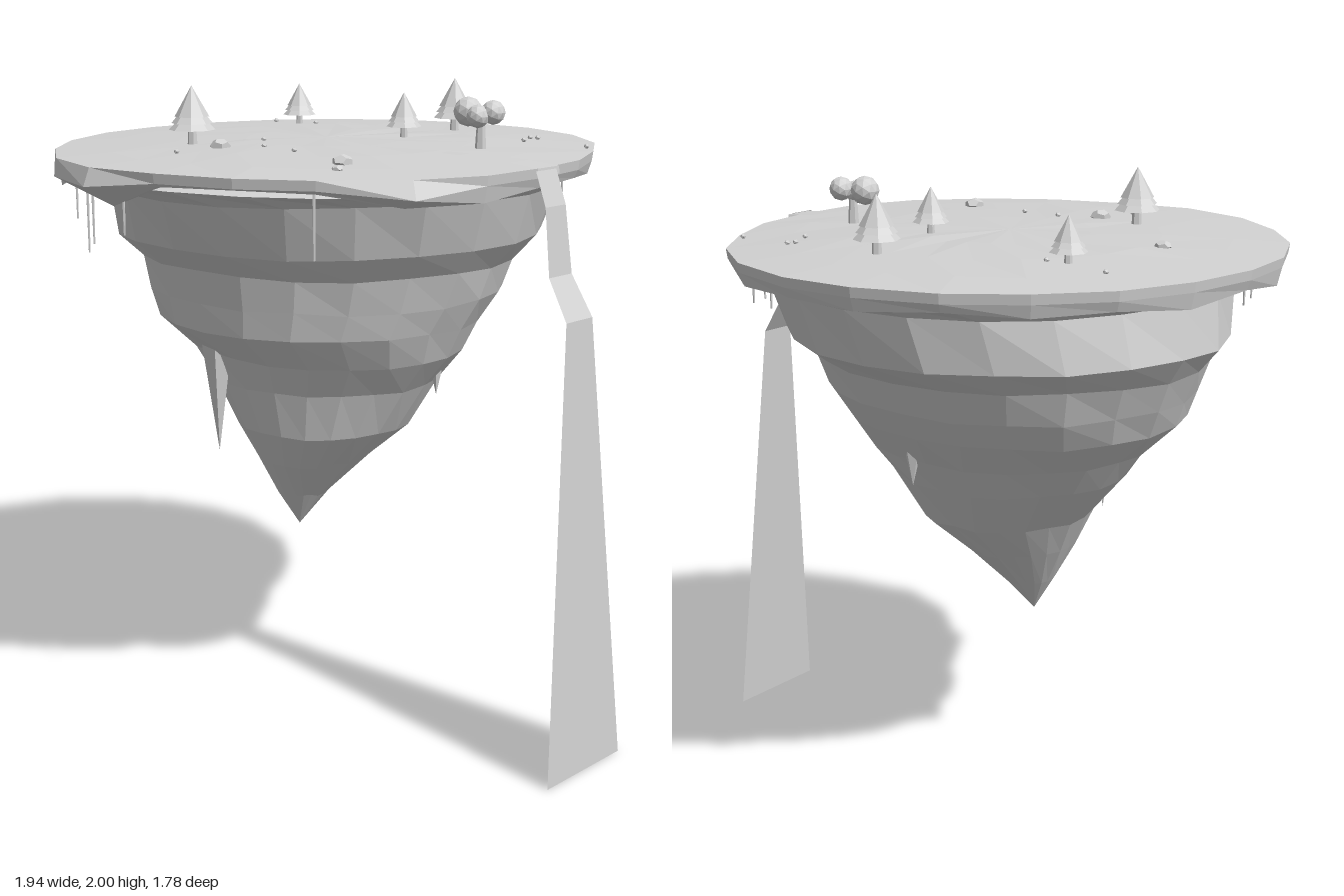
import * as THREE from 'three';

const stone = new THREE.MeshStandardMaterial({ color: 0xd2d2d2, side: THREE.DoubleSide });
stone.name = 'pale grey';

const N = 22;
let seed = 7;
const rand = () => (seed = (seed * 16807) % 2147483647) / 2147483647;
const jitter = (s) => (rand() - 0.5) * 2 * s;

// Faceted look: every face gets its own normal
function flat(geo) {
  const g = geo.index ? geo.toNonIndexed() : geo;
  g.computeVertexNormals();
  return g;
}

function add(parent, name, geo, x = 0, y = 0, z = 0) {
  const mesh = new THREE.Mesh(flat(geo), stone);
  mesh.name = name;
  mesh.position.set(x, y, z);
  parent.add(mesh);
  return mesh;
}

// Skin between rings of points, listed from top to bottom
function loft(rings, closed = true) {
  const pos = [];
  for (let r = 0; r < rings.length - 1; r++) {
    const A = rings[r], B = rings[r + 1], n = A.length;
    for (let i = 0; i < (closed ? n : n - 1); i++) {
      const j = (i + 1) % n;
      pos.push(...A[i], ...A[j], ...B[i], ...A[j], ...B[j], ...B[i]);
    }
  }
  const g = new THREE.BufferGeometry();
  g.setAttribute('position', new THREE.Float32BufferAttribute(pos, 3));
  return g;
}

// Rim of the plateau: x, z, height of the ragged fringe, outward flare of the lip
const RIM = [
  [0, -0.89, 1.74], [0.25, -0.81, 1.73], [0.45, -0.66, 1.745], [0.585, -0.465, 1.73],
  [0.69, -0.25, 1.745], [0.725, -0.03, 1.74], [0.72, 0.22, 1.72], [0.63, 0.435, 1.71, 1.03],
  [0.445, 0.63, 1.76], [0.245, 0.755, 1.765], [0, 0.83, 1.76], [-0.24, 0.865, 1.68, 1.025],
  [-0.49, 0.79, 1.755, 1.01], [-0.69, 0.64, 1.685], [-0.845, 0.455, 1.74], [-0.95, 0.22, 1.715],
  [-0.975, -0.01, 1.74], [-0.94, -0.26, 1.72], [-0.845, -0.49, 1.74], [-0.685, -0.67, 1.73],
  [-0.485, -0.81, 1.745], [-0.24, -0.885, 1.73],
];
const CX = -0.12;
const DOME = 0.029;
const groundY = (x, z) => 1.8 + DOME * Math.max(0, 1 - ((x - CX) ** 2 + z * z) / 0.75);

// The rim outline scaled about the island's axis; f and y are given per point
const rimRing = (f, y) => RIM.map((p) => [CX + (p[0] - CX) * f(p), y(p), p[1] * f(p)]);

function plateau() {
  const rings = [0, 0.3, 0.55, 0.8, 1].map((f) => rimRing(() => f,
    () => 1.8 + DOME * (1 - f * f) + (f > 0 && f < 1 ? jitter(0.003) : 0)));
  rings.push(
    rimRing((p) => p[3] ?? 0.995, (p) => (p[3] ? 1.745 : 1.77)), // lip
    rimRing((p) => (p[3] ? 0.91 : 0.98), (p) => p[2]), // ragged fringe
    rimRing(() => 0.86, () => 1.768),
    rimRing(() => 0, () => 1.768),
  );
  return loft(rings);
}

// Rock below: y, centre x, radius x, centre z, radius z
const ROCK = [
  [1.70, -0.11, 0.71, -0.03, 0.73],
  [1.54, -0.145, 0.695, -0.04, 0.68], [1.465, -0.15, 0.63, -0.03, 0.58],
  [1.36, -0.145, 0.59, -0.015, 0.55],
  [1.27, -0.145, 0.545, 0.01, 0.51], [1.17, -0.115, 0.465, 0, 0.415],
  [1.07, -0.115, 0.385, 0.01, 0.36], [0.92, -0.09, 0.275, 0.04, 0.295],
  [0.80, -0.12, 0.18, 0.065, 0.195], [0.67, -0.145, 0.078, 0.09, 0.09],
  [0.555, -0.15, 0, 0.105, 0],
];

function rock() {
  const body = ROCK.map(([y, cx, rx, cz, rz]) => Array.from({ length: N }, (_, i) => {
    const a = (i / N) * Math.PI * 2;
    const f = 1 + jitter(0.009);
    return [cx + Math.sin(a) * rx * f, y + (rx ? jitter(0.005) : 0), cz - Math.cos(a) * rz * f];
  }));
  // shelf just under the plateau
  return loft([rimRing(() => 0.8, () => 1.766), rimRing(() => 0.93, () => 1.742), ...body]);
}

// Flat water strip from [x, y, zMin, zMax] sections
const strip = (rows) => loft(rows.map(([x, y, a, b]) => [[x, y, a], [x, y, b]]), false);

function pine(parent, x, z, r, top) {
  const g = new THREE.Group();
  g.name = 'pineTree';
  const y0 = groundY(x, z) - 0.005;
  const h = top - y0;
  add(g, 'pineTrunk', new THREE.CylinderGeometry(r * 0.17, r * 0.22, h * 0.4, 6), x, y0 + h * 0.2, z);
  [[1, 0.26, 0.4], [0.88, 0.37, 0.42], [0.74, 0.48, 0.52]].forEach(([s, b, t]) =>
    add(g, 'pineTier', new THREE.ConeGeometry(r * s, h * t, 8), x, y0 + h * (b + t / 2), z));
  parent.add(g);
}

export function createModel() {
  const model = new THREE.Group();
  model.name = 'floatingIsland';
  add(model, 'plateau', plateau());
  add(model, 'rockBody', rock());

  // Hanging rock spikes: x, z, top, tip, radius
  [[-0.23, 0.385, 1.2, 0.85, 0.05], [-0.06, -0.41, 1.2, 1.09, 0.026],
    [0.265, -0.1, 1.11, 1.03, 0.018]].forEach(([x, z, top, tip, r]) => {
    const spike = add(model, 'rockSpike', new THREE.ConeGeometry(r, top - tip, 5), x, (top + tip) / 2, z);
    spike.rotation.x = Math.PI;
  });

  // Thin roots under the rim: x, z, lower end
  [[-0.64, 0.6, 1.58], [-0.435, 0.72, 1.51], [-0.36, 0.76, 1.55], [-0.18, 0.79, 1.6],
    [0.41, 0.6, 1.57], [-0.89, 0.1, 1.67], [0.3, -0.7, 1.66], [0.2, -0.73, 1.66],
    [0.42, -0.53, 1.63]].forEach(([x, z, low]) => {
    add(model, 'hangingRoot', new THREE.CylinderGeometry(0.005, 0.003, 1.76 - low, 5), x, (1.76 + low) / 2, z);
  });

  // Stream on the plateau and the waterfall past the rim
  add(model, 'stream', strip([
    [0.2, 1.82, -0.01, 0.01], [0.45, 1.819, -0.03, 0.03],
    [0.63, 1.811, -0.08, 0.02], [0.74, 1.803, -0.08, 0.02], [0.742, 1.78, -0.08, 0.02],
  ]));
  add(model, 'waterfall', strip([
    [0.76, 1.8, -0.04, 0.055], [0.797, 1.7, -0.04, 0.055], [0.82, 1.5, -0.048, 0.06],
    [0.893, 1.38, -0.055, 0.07], [0.967, 0, -0.165, 0.195],
  ]));

  // Pines: x, z, radius, top
  [[-0.03, -0.525, 0.07, 1.99], [-0.56, -0.32, 0.056, 1.955],
    [0.04, -0.19, 0.056, 1.967], [-0.345, 0.37, 0.073, 2.0]].forEach((p) => pine(model, ...p));

  // Round-crowned tree
  const tree = new THREE.Group();
  tree.name = 'roundTree';
  add(tree, 'roundTrunk', new THREE.CylinderGeometry(0.012, 0.018, 0.1, 6), 0.385, 1.86, -0.155);
  [[0.33, 1.927, -0.16, 0.046], [0.412, 1.928, -0.18, 0.038], [0.385, 1.917, -0.14, 0.036]]
    .forEach(([x, y, z, r]) => add(tree, 'leafBall', new THREE.IcosahedronGeometry(r, 1), x, y, z));
  model.add(tree);

  // Boulders: x, z, radius
  [[-0.635, 0.06, 0.026], [-0.195, 0.39, 0.033], [0.315, 0.385, 0.033], [0.38, 0.475, 0.018]]
    .forEach(([x, z, r], i) => {
      const b = add(model, 'boulder', new THREE.DodecahedronGeometry(r), x, groundY(x, z) + r * 0.1, z);
      b.scale.y = 0.7;
      b.rotation.y = i;
    });

  // Pebbles
  [[-0.71, -0.355], [-0.5, -0.34], [0.295, -0.52], [0.31, -0.54], [0.335, -0.435],
    [0.53, -0.505], [-0.2, 0.2], [-0.08, 0.315], [0.06, 0.325], [-0.215, 0.55]]
    .forEach(([x, z]) => add(model, 'pebble', new THREE.IcosahedronGeometry(0.009), x, groundY(x, z) + 0.005, z));

  return model;
}
